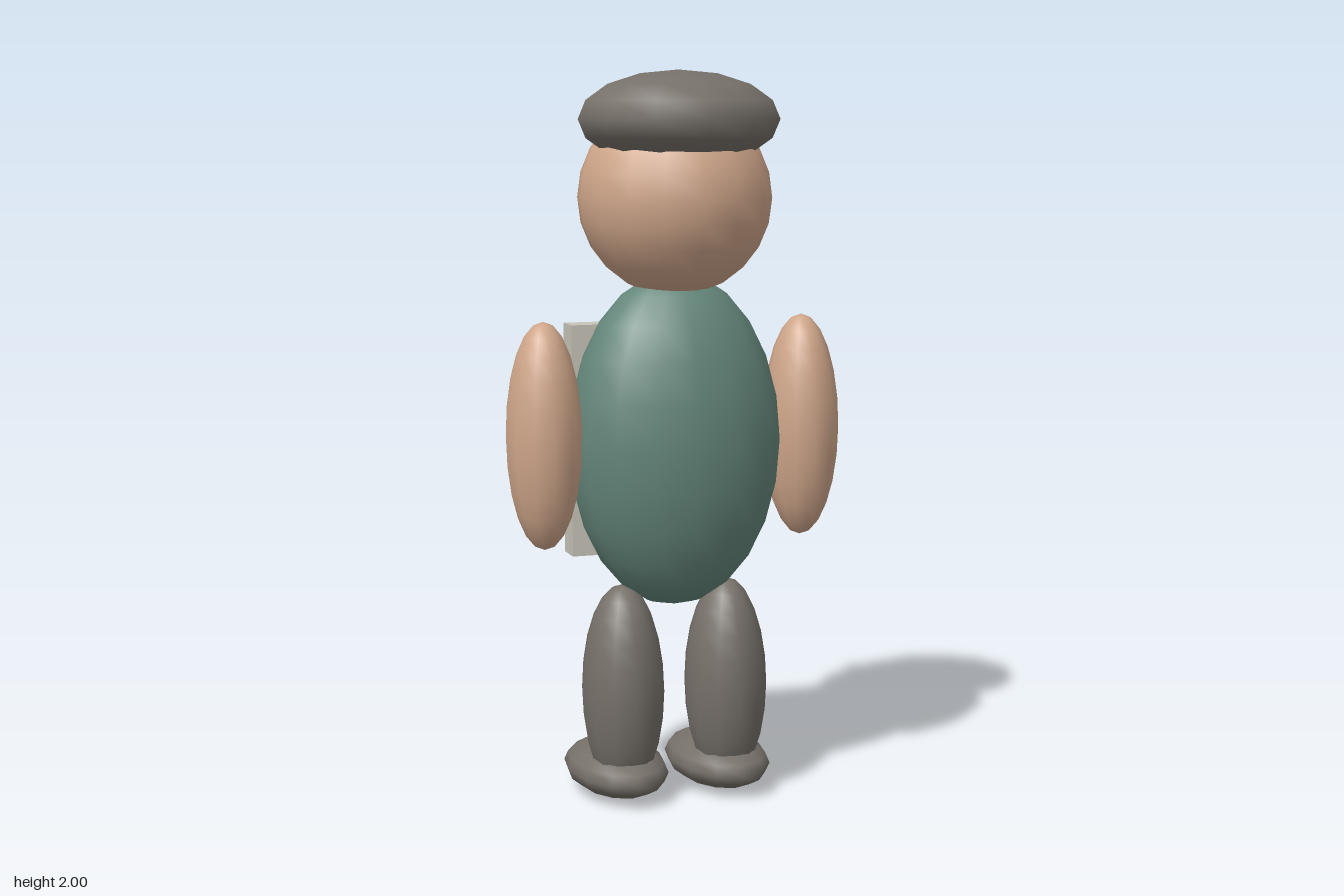
import * as THREE from 'three';

const paint = (name, color) => {
  const m = new THREE.MeshStandardMaterial({ color });
  m.name = name;
  return m;
};

export function createModel() {
  const model = new THREE.Group();
  model.name = 'figure';

  const skin = paint('skin', 0xcfa68a);
  const shirt = paint('shirt green', 0x64867a);
  const cloth = paint('dark cloth', 0x767069);
  const eyeGrey = paint('eye grey', 0x5c5c5c);
  const board = paint('board', 0xc8c4b8);

  // Smooth ellipsoid from a centre and three radii
  const blob = (name, material, [x, y, z], [rx, ry, rz], around = 12, rows = 10) => {
    const geometry = new THREE.SphereGeometry(1, around, rows);
    geometry.scale(rx, ry, rz);
    const mesh = new THREE.Mesh(geometry, material);
    mesh.name = name;
    mesh.position.set(x, y, z);
    model.add(mesh);
  };

  // Torso, head and flat cap; the face looks toward -z
  blob('torso', shirt, [0, 1.0, 0], [0.3, 0.46, 0.215], 16, 12);
  blob('head', skin, [0, 1.66, 0], [0.265, 0.265, 0.255], 16, 12);
  blob('cap', cloth, [0, 1.87, 0.034], [0.28, 0.13, 0.254], 12, 8);

  // Paired limbs and eyes
  for (const [side, s] of [['left', 1], ['right', -1]]) {
    blob(`${side}Arm`, skin, [s * 0.37, 1.025, 0], [0.105, 0.31, 0.115], 12, 12);
    blob(`${side}Leg`, cloth, [s * 0.15, 0.31, 0], [0.115, 0.295, 0.125], 12, 12);
    blob(`${side}Foot`, cloth, [s * 0.15, 0.07, -0.07], [0.138, 0.07, 0.22], 12, 8);
    blob(`${side}Eye`, eyeGrey, [s * 0.094, 1.702, -0.243], [0.025, 0.028, 0.024], 10, 8);
  }

  // Board held against the chest
  const panel = new THREE.Mesh(new THREE.BoxGeometry(0.486, 0.65, 0.08), board);
  panel.name = 'board';
  panel.position.set(0, 0.98, -0.21);
  model.add(panel);

  return model;
}
